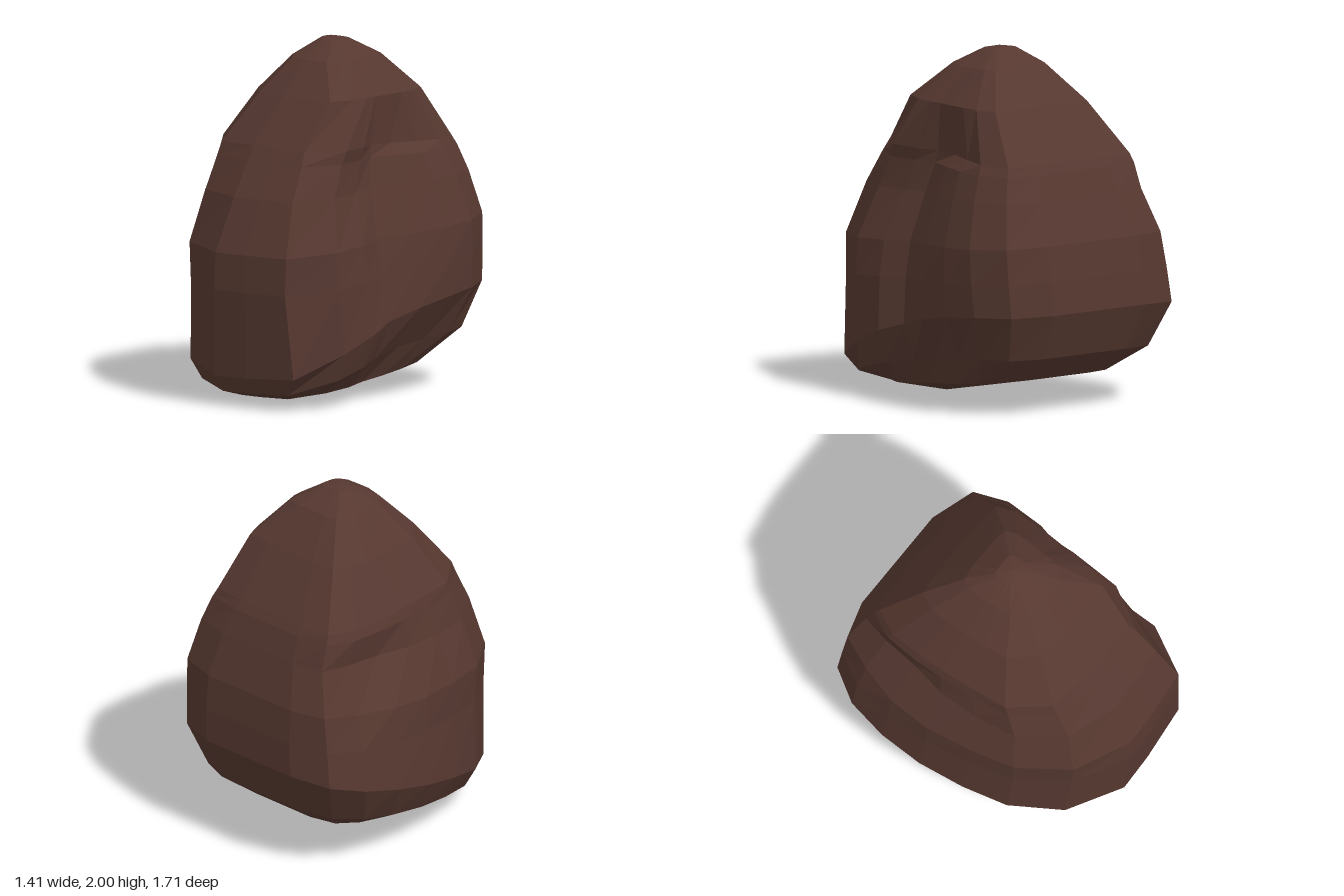
import * as THREE from 'three';

// Unit outline seen from above: front, left side (+x), back, right side (-x)
const OUTLINE = [
  [-0.04, 1], [0.28, 0.99], [0.67, 0.95], [0.93, 0.62], [1, 0.35], [0.97, 0.14], [1, -0.12],
  [1, -0.4], [0.96, -0.66], [0.81, -0.9], [0.47, -1], [0, -1], [-0.47, -1], [-0.81, -0.92],
  [-0.96, -0.7], [-1, -0.42], [-0.98, -0.12], [-0.9, 0.19], [-0.78, 0.49], [-0.5, 0.8],
];

// Tilted rings from peak to base: front y, back y, x range, z range, boxiness
const RINGS = [
  [1.985, 1.99, -0.01, 0.15, -0.12, 0.02, 0],
  [1.89, 1.9, -0.14, 0.29, -0.26, 0.18, 0.4],
  [1.7, 1.7, -0.31, 0.45, -0.44, 0.35, 0.6],
  [1.44, 1.41, -0.48, 0.53, -0.64, 0.55, 0.6],
  [1.36, 1.36, -0.5, 0.56, -0.67, 0.6, 0.5],
  [1.17, 1.22, -0.55, 0.62, -0.73, 0.72, 0.35],
  [0.87, 0.98, -0.67, 0.7, -0.82, 0.85, 0.1],
  [0.66, 0.78, -0.68, 0.7, -0.84, 0.86, 0],
  [0.17, 0.59, -0.71, 0.69, -0.85, 0.83, 0],
  [0.08, 0.33, -0.61, 0.64, -0.74, 0.79, 0],
  [0.04, 0.18, -0.42, 0.46, -0.54, 0.64, 0],
];

// Clefts and bulges: ring, centre on the outline, x shift, reach in outline points
const DENTS = [
  [2, 2, 0.06, 1], [3, 5.5, -0.11, 2.5], [4, 4.8, -0.12, 2.5], [5, 4.6, -0.15, 2.8],
  [6, 4.8, -0.13, 2.6], [7, 4.8, -0.09, 2.3], [8, 5, -0.04, 2], [8, 2, 0.05, 1],
  [9, 6.3, -0.12, 3.5], [5, 14.5, 0.09, 2], [6, 13.8, 0.06, 1.6],
];

// The underside edge is raised along the left side
const LIFT = { 8: 0.11, 9: 0.06 };

function boulderGeometry() {
  const pos = [];
  const index = [];
  const n = OUTLINE.length;

  RINGS.forEach(([yF, yB, x0, x1, z0, z1, box], ring) => {
    const dents = DENTS.filter((d) => d[0] === ring);
    OUTLINE.forEach(([u, v], i) => {
      const s = THREE.MathUtils.lerp(1, 1 / Math.max(Math.abs(u), Math.abs(v)), box);
      let px = (x0 + x1) / 2 + (u * s * (x1 - x0)) / 2;
      for (const [, centre, shift, reach] of dents) {
        px += shift * Math.max(0, 1 - Math.abs(i - centre) / reach);
      }
      const pz = (z0 + z1) / 2 + (v * s * (z1 - z0)) / 2;
      const raise = (LIFT[ring] || 0) * Math.max(u, 0) * (1 - v * v);
      pos.push(px, THREE.MathUtils.lerp(yB, yF, (v + 1) / 2) + raise, pz);
    });
  });

  // Walls between neighbouring rings
  for (let r = 0; r < RINGS.length - 1; r++) {
    for (let i = 0; i < n; i++) {
      const j = (i + 1) % n;
      const a = r * n + i, b = r * n + j, c = a + n, d = b + n;
      index.push(c, d, b, c, b, a);
    }
  }

  // Peak and underside
  const top = pos.length / 3;
  pos.push(0.07, 2, -0.05, 0.12, 0, 0.36);
  const last = (RINGS.length - 1) * n;
  for (let i = 0; i < n; i++) {
    const j = (i + 1) % n;
    index.push(top, i, j, top + 1, last + j, last + i);
  }

  const geometry = new THREE.BufferGeometry();
  geometry.setAttribute('position', new THREE.Float32BufferAttribute(pos, 3));
  geometry.setIndex(index);
  const faceted = geometry.toNonIndexed();
  faceted.computeVertexNormals();
  return faceted;
}

export function createModel() {
  const group = new THREE.Group();
  group.name = 'rock';
  const stone = new THREE.MeshStandardMaterial({ color: 0x563830, flatShading: true });
  stone.name = 'brown stone';
  const boulder = new THREE.Mesh(boulderGeometry(), stone);
  boulder.name = 'boulder';
  group.add(boulder);
  return group;
}
